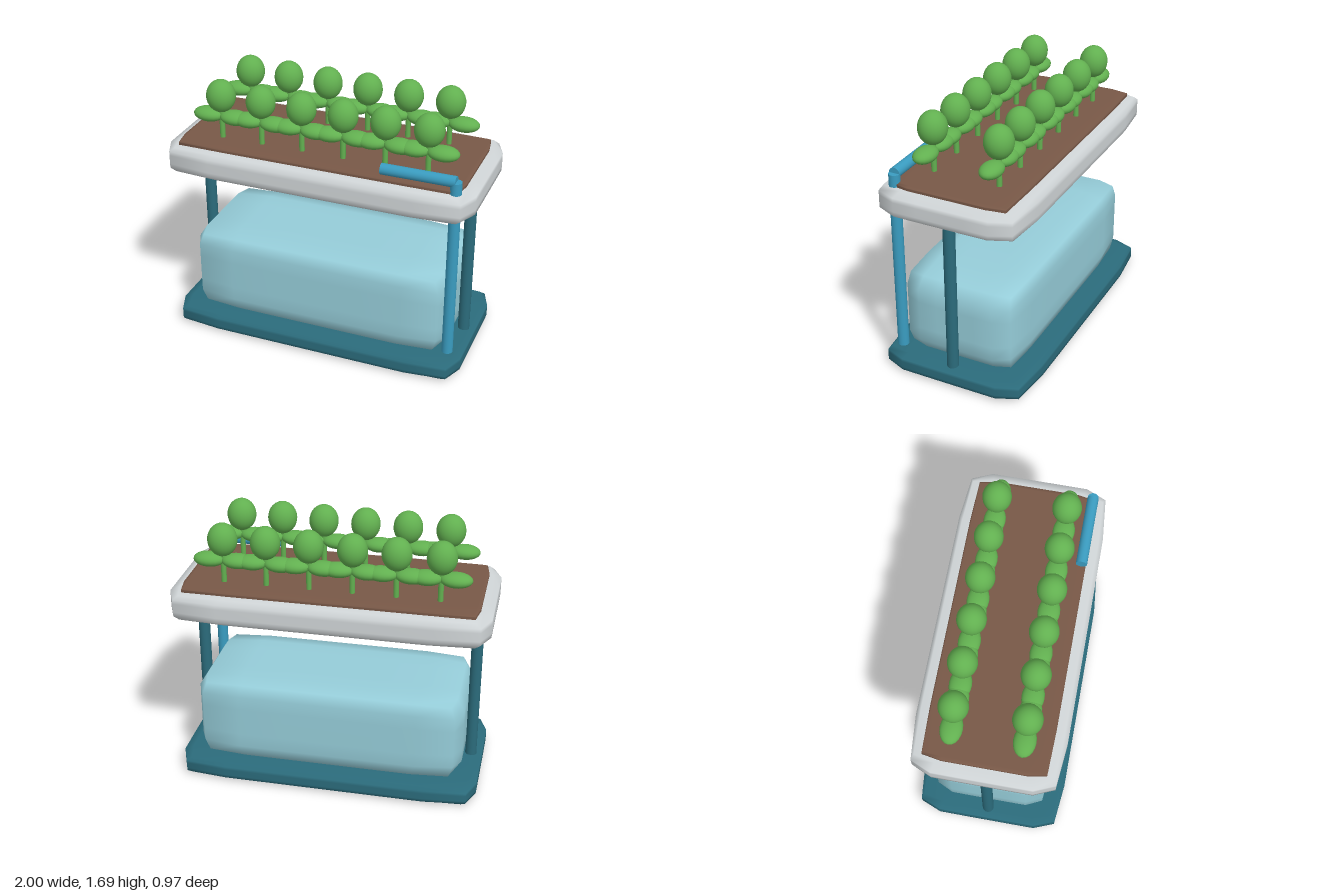
import * as THREE from 'three';
import { mergeVertices } from 'three/addons/utils/BufferGeometryUtils.js';

const mat = (name, color) => {
  const m = new THREE.MeshStandardMaterial({ color });
  m.name = name;
  return m;
};

// Softly bulging block: a gridded cube pushed onto a superellipsoid
function softBlock(hx, hy, hz, power = 12) {
  let g = new THREE.BoxGeometry(2, 2, 2, 6, 6, 6);
  g.deleteAttribute('uv');
  g.deleteAttribute('normal');
  g = mergeVertices(g);
  const p = g.attributes.position;
  for (let i = 0; i < p.count; i++) {
    const v = [p.getX(i), p.getY(i), p.getZ(i)];
    const k = v.reduce((s, c) => s + Math.abs(c) ** power, 0) ** (-1 / power);
    p.setXYZ(i, v[0] * k * hx, v[1] * k * hy, v[2] * k * hz);
  }
  g.computeVertexNormals();
  return g;
}

export function createModel() {
  const group = new THREE.Group();
  const teal = mat('dark teal', 0x2b6b7b);
  const aqua = mat('pale aqua', 0x95ccd8);
  const blue = mat('pipe blue', 0x3a9cc0);
  const grey = mat('light grey', 0xd0d5d7);
  const brown = mat('soil brown', 0x785847);
  const green = mat('leaf green', 0x62b050);

  const add = (name, geometry, material, x, y, z, parent = group) => {
    const mesh = new THREE.Mesh(geometry, material);
    mesh.name = name;
    mesh.position.set(x, y, z);
    parent.add(mesh);
    return mesh;
  };

  // Base, water tank, tray and soil
  add('base', softBlock(0.97, 0.06, 0.485), teal, 0, 0.06, 0);
  add('waterTank', softBlock(0.862, 0.275, 0.375), aqua, 0, 0.386, 0);
  add('tray', softBlock(1, 0.089, 0.46), grey, 0, 1.195, 0);
  add('soil', softBlock(0.925, 0.02, 0.382, 30), brown, 0, 1.285, 0);

  // Support posts
  const post = new THREE.CylinderGeometry(0.037, 0.037, 1.06, 20);
  for (const s of [-1, 1]) add('post', post, teal, s * 0.897, 0.62, 0);

  // Watering pipe: riser and spout
  add('pipeRiser', new THREE.CylinderGeometry(0.035, 0.035, 1.19, 20), blue, 0.89, 0.76, 0.355);
  const spout = add('pipeSpout', new THREE.CylinderGeometry(0.035, 0.035, 0.46, 20), blue, 0.66, 1.355, 0.355);
  spout.rotation.z = Math.PI / 2;

  // Two rows of six plants
  const stem = new THREE.CylinderGeometry(0.017, 0.017, 0.24, 12);
  const leaf = new THREE.SphereGeometry(1, 20, 14).scale(0.1, 0.046, 0.068);
  const crown = new THREE.SphereGeometry(1, 24, 16).scale(0.093, 0.105, 0.09);
  for (const z of [-0.215, 0.215]) {
    for (let i = 0; i < 6; i++) {
      const plant = new THREE.Group();
      plant.name = 'plant';
      plant.position.set((i - 2.5) * 0.27, 1.3, z);
      add('stem', stem, green, 0, 0.11, 0, plant);
      add('crown', crown, green, 0, 0.285, 0, plant);
      for (const s of [-1, 1]) add('leaf', leaf, green, s * 0.09, 0.15, 0, plant);
      group.add(plant);
    }
  }
  return group;
}
